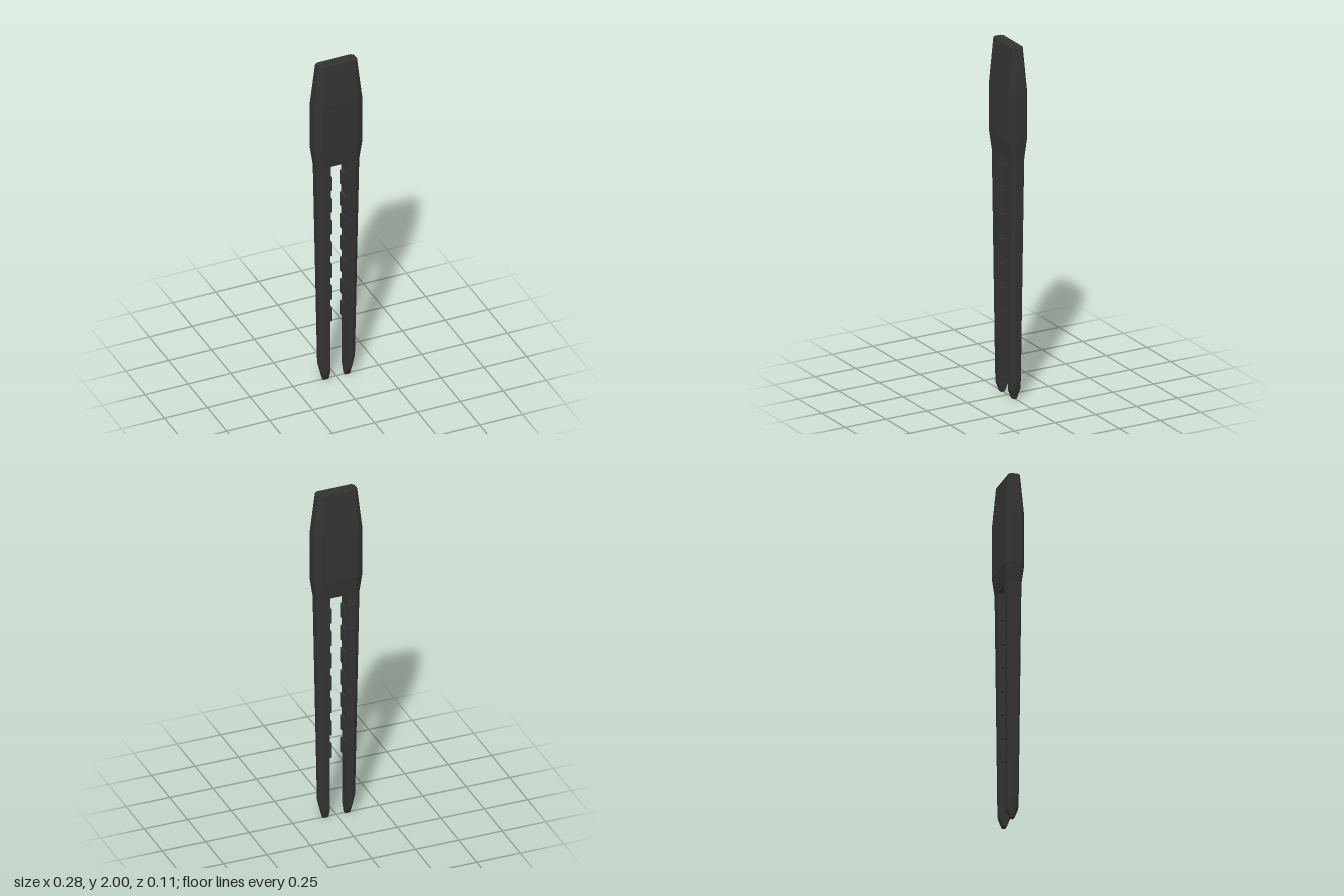
import * as THREE from 'three';

const material = new THREE.MeshStandardMaterial({ color: 0x333333, flatShading: true });

// Skin stacked rings of [x, y, z] points (counter-clockwise seen from above) and cap both ends
function loft(rings) {
  const n = rings[0].length, last = (rings.length - 1) * n, index = [];
  for (let r = 0; r < rings.length - 1; r++) {
    for (let i = 0; i < n; i++) {
      const a = r * n + i, b = r * n + (i + 1) % n;
      index.push(a, b, b + n, a, b + n, a + n);
    }
  }
  for (let i = 1; i < n - 1; i++) {
    index.push(0, i + 1, i, last, last + i, last + i + 1);
  }
  const geometry = new THREE.BufferGeometry();
  geometry.setAttribute('position', new THREE.Float32BufferAttribute(rings.flat(2), 3));
  geometry.setIndex(index);
  const flat = geometry.toNonIndexed();
  flat.computeVertexNormals();
  return flat;
}

function addMesh(parent, name, geometry) {
  const mesh = new THREE.Mesh(geometry, material);
  mesh.name = name;
  parent.add(mesh);
  return mesh;
}

// Octagonal ring: half width w, half depth d, and where their chamfers begin (cw, cd)
const octagon = ([y, w, d, cw, cd]) => [
  [w, y, cd], [w, y, -cd], [cw, y, -d], [-cw, y, -d],
  [-w, y, -cd], [-w, y, cd], [-cw, y, d], [cw, y, d],
];

// Prong ring: flat inner face, chamfered outer face
const INNER = 0.05;
function prongRing([y, w, d, cw, cd], side) {
  const ring = [[w, y, cd], [w, y, -cd], [cw, y, -d], [INNER, y, -d], [INNER, y, d], [cw, y, d]];
  return side > 0 ? ring : ring.map(([x, h, z]) => [-x, h, z]).reverse();
}

export function createModel() {
  const group = new THREE.Group();
  group.name = 'prongedTool';

  // Faceted head
  addMesh(group, 'head', loft([
    [1.365, 0.125, 0.039, 0.104, 0.026],
    [1.47, 0.14, 0.054, 0.106, 0.03],
    [1.76, 0.14, 0.054, 0.106, 0.03],
    [2, 0.115, 0.032, 0.1, 0.019],
  ].map(octagon)));

  // Two tapering prongs with pointed tips
  const prongSections = [
    [0, 0.081, 0.011, 0.075, 0.006],
    [0.05, 0.092, 0.03, 0.078, 0.011],
    [0.11, 0.106, 0.031, 0.083, 0.013],
    [1.365, 0.125, 0.039, 0.104, 0.026],
  ];
  for (const side of [1, -1]) {
    const prong = new THREE.Group();
    prong.name = side > 0 ? 'leftProng' : 'rightProng';
    group.add(prong);
    addMesh(prong, 'prongBody', loft(prongSections.map((s) => prongRing(s, side))));

    // Row of grip teeth facing into the slot
    for (let i = 0; i < 7; i++) {
      const tooth = addMesh(prong, 'tooth', new THREE.BoxGeometry(0.025, 0.086, 0.048));
      tooth.position.set(side * 0.0475, 0.414 + i * 0.1383, 0);
    }
  }
  return group;
}
